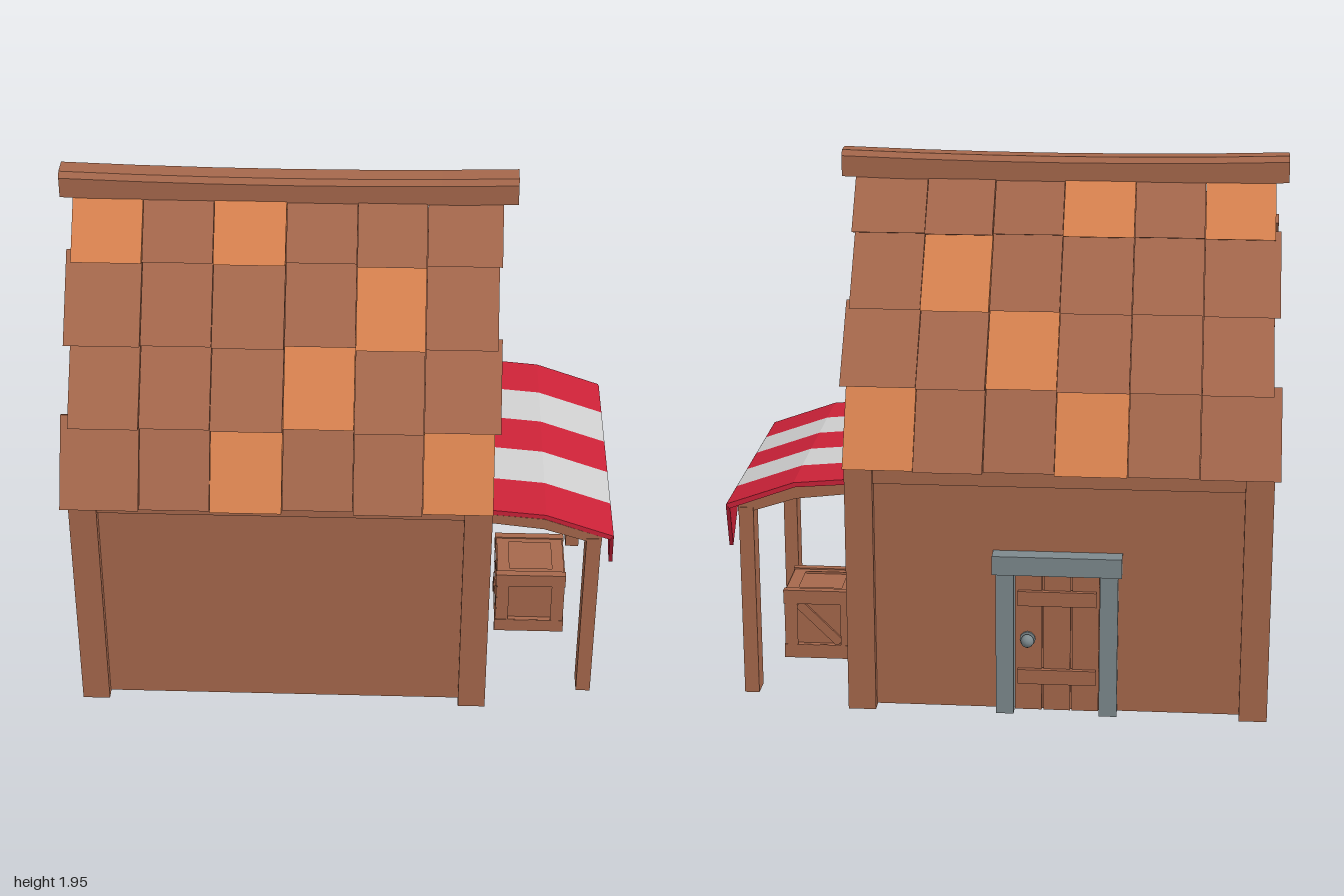
import * as THREE from 'three';

const mat = (name, color) => {
  const m = new THREE.MeshStandardMaterial({ color });
  m.name = name;
  return m;
};

export function createModel() {
  const wood = mat('brown wood', 0xa6684c);
  const orange = mat('orange shingle', 0xd8824f);
  const red = mat('red cloth', 0xcc2238);
  const white = mat('white cloth', 0xcfcfcf);
  const stone = mat('grey stone', 0x7d898d);
  const glass = mat('dark glass', 0x43444d);
  const model = new THREE.Group();
  model.name = 'marketHouse';

  const group = (name, parent = model) => {
    const g = new THREE.Group();
    g.name = name;
    parent.add(g);
    return g;
  };
  const add = (parent, name, geo, material) => {
    const m = new THREE.Mesh(geo, material);
    m.name = name;
    parent.add(m);
    return m;
  };
  // Box given by its minimum and maximum on each axis
  const box = (parent, name, x0, x1, y0, y1, z0, z1, material = wood) => {
    const m = add(parent, name, new THREE.BoxGeometry(x1 - x0, y1 - y0, z1 - z0), material);
    m.position.set((x0 + x1) / 2, (y0 + y1) / 2, (z0 + z1) / 2);
    return m;
  };
  const toShape = (pts) => new THREE.Shape(pts.map(([a, b]) => new THREE.Vector2(a, b)));
  // Extrude a (z, y) profile along x
  const prism = (pts, x0, x1, hole = null, steps = 1) => {
    const flip = (list) => list.map(([z, y]) => [-z, y]);
    const shape = toShape(flip(pts));
    if (hole) shape.holes.push(toShape(flip(hole)));
    return new THREE.ExtrudeGeometry(shape, { depth: x1 - x0, bevelEnabled: false, steps })
      .rotateY(Math.PI / 2).translate(x0, 0, 0);
  };
  const mirrored = (half) => [...half, ...half.filter(([z]) => z !== 0).reverse().map(([z, y]) => [-z, y])];

  // Walls with gables
  add(model, 'walls', prism(mirrored([[0.545, 0.01], [0.545, 0.93], [0, 1.81]]), -0.93, 0.5), wood);

  // Corner posts, wall beams and gable rafters
  const timber = group('timberFrame');
  for (const s of [-1, 1]) {
    const z0 = s > 0 ? 0.48 : -0.58;
    box(timber, 'cornerPost', -0.965, -0.865, 0, 0.925, z0, z0 + 0.1);
    box(timber, 'cornerPost', 0.445, 0.545, 0, 0.925, z0, z0 + 0.1);
    box(timber, 'eaveBeam', -0.87, 0.45, 0.86, 0.95, s > 0 ? 0.5 : -0.565, s > 0 ? 0.565 : -0.5);
  }
  for (const [x0, x1] of [[-0.955, -0.89], [0.46, 0.53]]) {
    box(timber, 'gableBeam', x0, x1, 0.86, 0.96, -0.485, 0.485);
    add(timber, 'gableRafters', prism(
      [[0.59, 0.94], [0, 1.86], [-0.59, 0.94], [-0.49, 0.94], [0, 1.71], [0.49, 0.94]], x0, x1), wood);
  }

  // Shingles: four overlapping rows of six on each slope
  const roof = group('roof');
  const rows = [ // lower and upper edge (z, y), start x, end x, orange columns
    [[0.642, 0.93], [0.475, 1.22], -0.985, 0.545, [2, 5]],
    [[0.53, 1.2], [0.305, 1.46], -0.955, 0.565, [3]],
    [[0.367, 1.44], [0.145, 1.7], -0.975, 0.55, [4]],
    [[0.2, 1.68], [0.025, 1.88], -0.955, 0.56, [0, 2]],
  ];
  const jitter = [0.003, -0.006, 0.002, -0.02, 0, -0.014];
  const thick = 0.042;
  for (const [low, high, start, end, accents] of rows) {
    const xs = [start, -0.705, -0.455, -0.2, 0.05, 0.295, end];
    const dz = low[0] - high[0], dy = high[1] - low[1], len = Math.hypot(dz, dy);
    const nz = dy / len, ny = dz / len;
    for (let c = 0; c < 6; c++) {
      const lz = low[0] + jitter[c];
      for (const s of [1, -1]) {
        const profile = [[lz, low[1]], high, [high[0] - nz * thick, high[1] - ny * thick],
          [lz - nz * thick, low[1] - ny * thick * 0.3]].map(([z, y]) => [s * z, y]);
        add(roof, 'shingle', prism(profile, xs[c] + 0.001, xs[c + 1] - 0.001),
          accents.includes(c) ? orange : wood);
      }
    }
  }

  // Ridge beam, sagging slightly in the middle
  const ridge = prism(mirrored([[0.05, 1.855], [0.05, 1.93], [0.035, 1.95]]), -1, 0.61, null, 6);
  const rp = ridge.attributes.position;
  for (let i = 0; i < rp.count; i++) {
    const t = (rp.getX(i) + 0.195) / 0.805;
    rp.setY(i, rp.getY(i) - 0.014 * (1 - t * t));
  }
  ridge.computeVertexNormals();
  add(roof, 'ridgeBeam', ridge, wood);

  // Arched gable window
  const win = group('window');
  const inner = mirrored([[0.1, 1.165], [0.1, 1.41], [0.075, 1.49], [0, 1.525]]);
  const outer = mirrored([[0.157, 1.12], [0.157, 1.42], [0.12, 1.51], [0.05, 1.565], [0, 1.58]]);
  add(win, 'windowFrame', prism(outer, 0.48, 0.545, inner), wood);
  add(win, 'windowGlass', prism(inner, 0.501, 0.508), glass);
  box(win, 'verticalBar', 0.5, 0.53, 1.16, 1.52, -0.013, 0.013);
  box(win, 'crossBar', 0.5, 0.528, 1.318, 1.344, -0.1, 0.1);
  box(win, 'windowSill', 0.48, 0.565, 1.103, 1.165, -0.185, 0.185);

  // Back door with stone surround
  const door = group('door');
  const cx = -0.21;
  for (const s of [-1, 1]) {
    box(door, 'doorJamb', cx + s * 0.185 - 0.032, cx + s * 0.185 + 0.032, 0.01, 0.56, -0.6, -0.53, stone);
  }
  box(door, 'doorLintel', cx - 0.23, cx + 0.23, 0.545, 0.615, -0.61, -0.53, stone);
  for (let i = -1; i <= 1; i++) {
    box(door, 'doorPlank', cx + i * 0.102 - 0.048, cx + i * 0.102 + 0.048, 0.015, 0.55, -0.567, -0.54);
  }
  for (const y of [0.12, 0.42]) box(door, 'doorBatten', cx - 0.14, cx + 0.14, y, y + 0.055, -0.583, -0.56);
  const knob = add(door, 'doorKnob', new THREE.SphereGeometry(0.024, 12, 8), stone);
  knob.position.set(cx + 0.105, 0.29, -0.592);
  const plate = add(door, 'knobPlate', new THREE.CylinderGeometry(0.028, 0.028, 0.012, 12), stone);
  plate.rotation.x = Math.PI / 2;
  plate.position.set(cx + 0.105, 0.29, -0.57);

  // Striped awning with hanging pennants
  const awning = group('awning');
  const cloth = [[0.52, 0.852], [0.74, 0.832], [0.985, 0.745], [0.975, 0.728], [0.735, 0.815], [0.52, 0.832]];
  const w = 0.197;
  for (let i = 0; i < 5; i++) {
    const z0 = -0.4975 + i * w, m = i % 2 ? white : red;
    add(awning, 'awningStripe', new THREE.ExtrudeGeometry(toShape(cloth),
      { depth: w, bevelEnabled: false }).translate(0, 0, z0), m);
    const flag = prism([[z0, 0.742], [z0 + w, 0.742], [z0 + w / 2, 0.552]], 0.973, 0.987);
    const p = flag.attributes.position;
    for (let k = 0; k < p.count; k++) p.setX(k, p.getX(k) + (0.742 - p.getY(k)) * 0.065);
    flag.computeVertexNormals();
    add(awning, 'pennant', flag, m);
  }
  // Awning posts and rafters
  const rafter = [[0.52, 0.83], [0.735, 0.812], [0.945, 0.737], [0.945, 0.70], [0.735, 0.768], [0.52, 0.793]];
  for (const zc of [-0.445, 0.445]) {
    box(awning, 'awningPost', 0.89, 0.943, 0.01, 0.73, zc - 0.042, zc + 0.042);
    add(awning, 'awningRafter', new THREE.ExtrudeGeometry(toShape(rafter),
      { depth: 0.08, bevelEnabled: false }).translate(0, 0, zc - 0.04), wood);
  }

  // Crate: recessed core with framed boards on every face
  const crate = group('crate');
  crate.position.set(0.722, 0.138, 0);
  add(crate, 'crateCore', new THREE.BoxGeometry(0.225, 0.23, 0.225), wood);
  const h = 0.132, t = 0.05;
  const square = (r) => [[-r, -r], [r, -r], [r, r], [-r, r]];
  for (let i = 0; i < 6; i++) {
    const frame = add(crate, 'crateFrame', prism(square(h - 0.004), 0.105, h, square(h - t)), wood);
    if (i < 4) frame.rotation.y = i * Math.PI / 2;
    else frame.rotation.z = (i === 4 ? 1 : -1) * Math.PI / 2;
  }
  for (const y of [-0.11, 0.11]) {
    box(crate, 'crateBand', -0.134, 0.134, y - 0.027, y + 0.027, -0.134, -0.105);
    box(crate, 'crateBand', -0.134, 0.134, y - 0.027, y + 0.027, 0.105, 0.134);
  }
  const brace = add(crate, 'crateBrace', new THREE.BoxGeometry(0.22, 0.035, 0.02), wood);
  brace.position.z = -0.113;
  brace.rotation.z = Math.PI / 4;

  return model;
}
